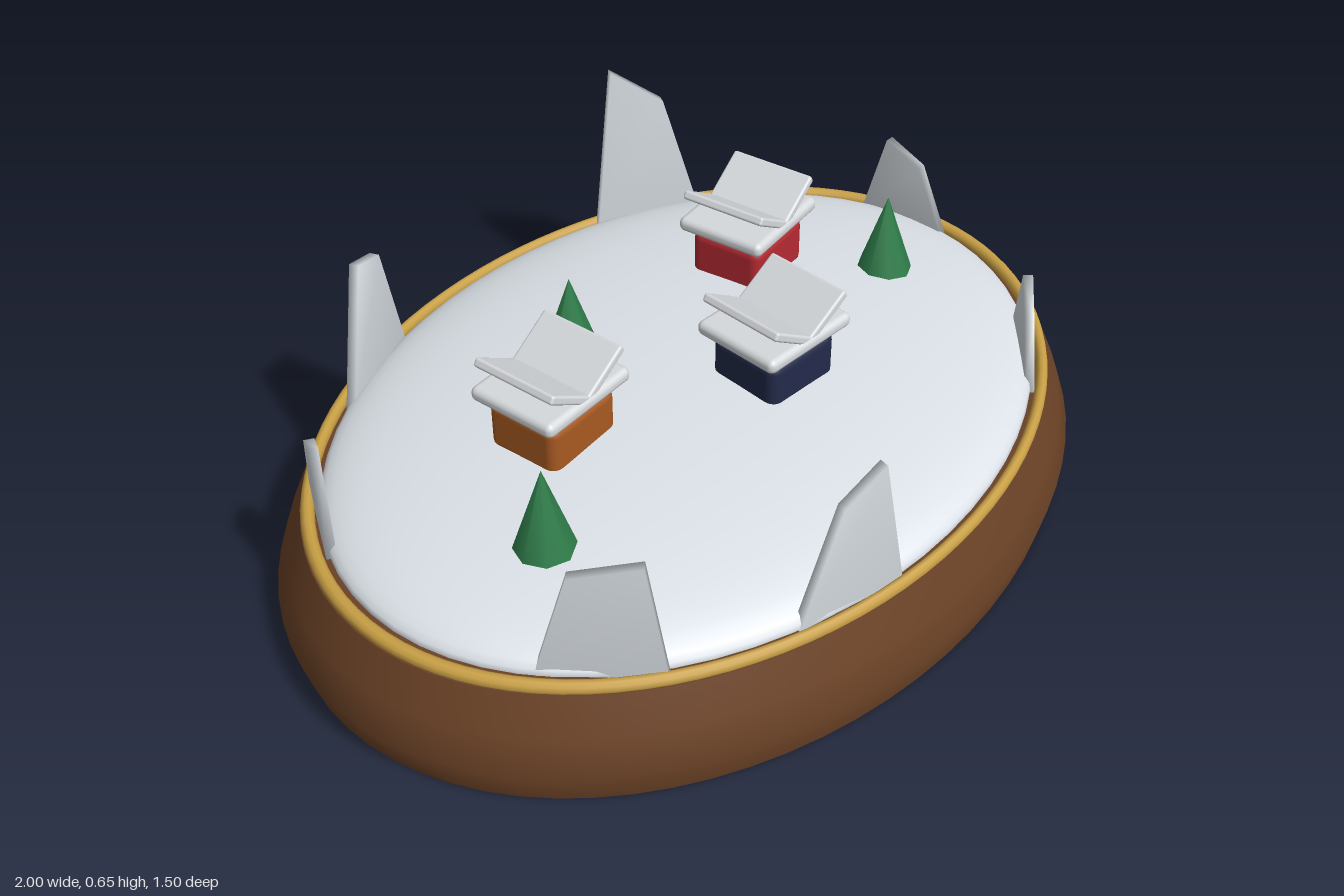
import * as THREE from 'three';
import { mergeVertices } from 'three/addons/utils/BufferGeometryUtils.js';
import { RoundedBoxGeometry } from 'three/addons/geometries/RoundedBoxGeometry.js';

const OVAL = 0.748; // depth / width of the oval base

const paint = (name, color) => {
  const m = new THREE.MeshStandardMaterial({ color });
  m.name = name;
  return m;
};

function add(parent, name, geometry, material, x = 0, y = 0, z = 0) {
  const mesh = new THREE.Mesh(geometry, material);
  mesh.name = name;
  mesh.position.set(x, y, z);
  parent.add(mesh);
  return mesh;
}

// Thin upright shard between two ground points; each top corner is [fraction along base, height]
function shardGeometry([x0, z0], [x1, z1], topA, topB) {
  const g = new THREE.BoxGeometry(1, 1, 1);
  g.deleteAttribute('normal');
  g.deleteAttribute('uv');
  const merged = mergeVertices(g);
  const p = merged.attributes.position;
  const dx = x1 - x0, dz = z1 - z0, len = Math.hypot(dx, dz), half = 0.011;
  for (let i = 0; i < p.count; i++) {
    const far = p.getX(i) > 0, up = p.getY(i) > 0;
    const side = Math.sign(p.getZ(i)) * half;
    const [f, y] = up ? (far ? topB : topA) : [far ? 1 : 0, 0.23];
    p.setXYZ(i, x0 + dx * f - (dz / len) * side, y, z0 + dz * f + (dx / len) * side);
  }
  merged.computeVertexNormals();
  return merged;
}

export function createModel() {
  const model = new THREE.Group();
  model.name = 'winterVillageDisplay';

  const wood = paint('brown wood', 0x6b4226);
  const gold = paint('gold', 0xc9a045);
  const snow = paint('snow', 0xdce2e8);
  const ice = paint('ice', 0xd6dce1);
  const roof = paint('roof snow', 0xd6d9dc);
  const green = paint('pine green', 0x2f7d4a);
  const red = paint('red', 0xb52a32);
  const navy = paint('navy', 0x232b4a);
  const orange = paint('orange', 0xa85a22);

  // Oval base: wall, underside and top
  const oval = new THREE.Group();
  oval.name = 'base';
  oval.scale.z = OVAL;
  model.add(oval);
  const profile = [[0.98, 0], [1, 0.075], [0.97, 0.15], [0.93, 0.23]]
    .map(([x, y]) => new THREE.Vector2(x, y));
  add(oval, 'baseWall', new THREE.LatheGeometry(profile, 72), wood);
  add(oval, 'baseUnderside', new THREE.CircleGeometry(0.98, 72), wood).rotation.x = Math.PI / 2;
  add(oval, 'baseTop', new THREE.CircleGeometry(0.93, 72), wood, 0, 0.23).rotation.x = -Math.PI / 2;
  add(oval, 'goldRim', new THREE.TorusGeometry(0.912, 0.016, 10, 96), gold, 0, 0.235).rotation.x = Math.PI / 2;

  // Gently domed snow field
  const dome = new THREE.SphereGeometry(1, 64, 16, 0, Math.PI * 2, 0, Math.PI / 2);
  add(oval, 'snowField', dome, snow, 0, 0.235).scale.set(0.885, 0.108, 0.885);

  // Ice shards around the rim
  [
    [[-0.40, 0.58], [-0.16, 0.65], [0.37, 0.49], [0.75, 0.55]],
    [[-0.79, 0.27], [-0.64, 0.47], [0.27, 0.475], [0.83, 0.505]],
    [[-0.82, -0.24], [-0.70, -0.42], [0.40, 0.44], [0.78, 0.40]],
    [[-0.48, -0.55], [-0.24, -0.64], [0.35, 0.55], [0.70, 0.52]],
    [[0.38, -0.60], [0.60, -0.46], [0.16, 0.655], [0.64, 0.56]],
    [[0.49, 0.55], [0.68, 0.40], [0.42, 0.35], [0.74, 0.415]],
    [[0.86, 0.09], [0.867, -0.15], [0.35, 0.41], [0.75, 0.45]],
  ].forEach(([a, b, topA, topB], i) => add(model, `iceShard${i + 1}`, shardGeometry(a, b, topA, topB), ice));

  // Pine trees
  const cone = new THREE.ConeGeometry(0.064, 0.19, 8);
  [[-0.59, 0.12], [-0.10, -0.25], [0.585, 0.095]].forEach(([x, z], i) =>
    add(model, `pineTree${i + 1}`, cone, green, x, 0.405, z));

  // Cottages: rounded body, snowy slab and two crossed roof panels
  const body = new RoundedBoxGeometry(0.195, 0.125, 0.18, 3, 0.025);
  const slab = new RoundedBoxGeometry(0.25, 0.034, 0.215, 3, 0.015);
  const panel = new RoundedBoxGeometry(0.155, 0.02, 0.205, 2, 0.006);
  [
    [-0.345, -0.08, 0.02, orange],
    [0.097, 0.145, -0.09, navy],
    [0.39, -0.15, 0.09, red],
  ].forEach(([x, z, turn, color], i) => {
    const house = new THREE.Group();
    house.name = `cottage${i + 1}`;
    house.position.set(x, 0, z);
    house.rotation.y = turn;
    model.add(house);
    add(house, 'cottageBody', body, color, 0, 0.37);
    add(house, 'roofSlab', slab, roof, 0, 0.455);
    for (const s of [-1, 1]) {
      add(house, s < 0 ? 'roofPanelRight' : 'roofPanelLeft', panel, roof, s * 0.042, 0.487).rotation.z = s * 0.56;
    }
  });

  return model;
}
